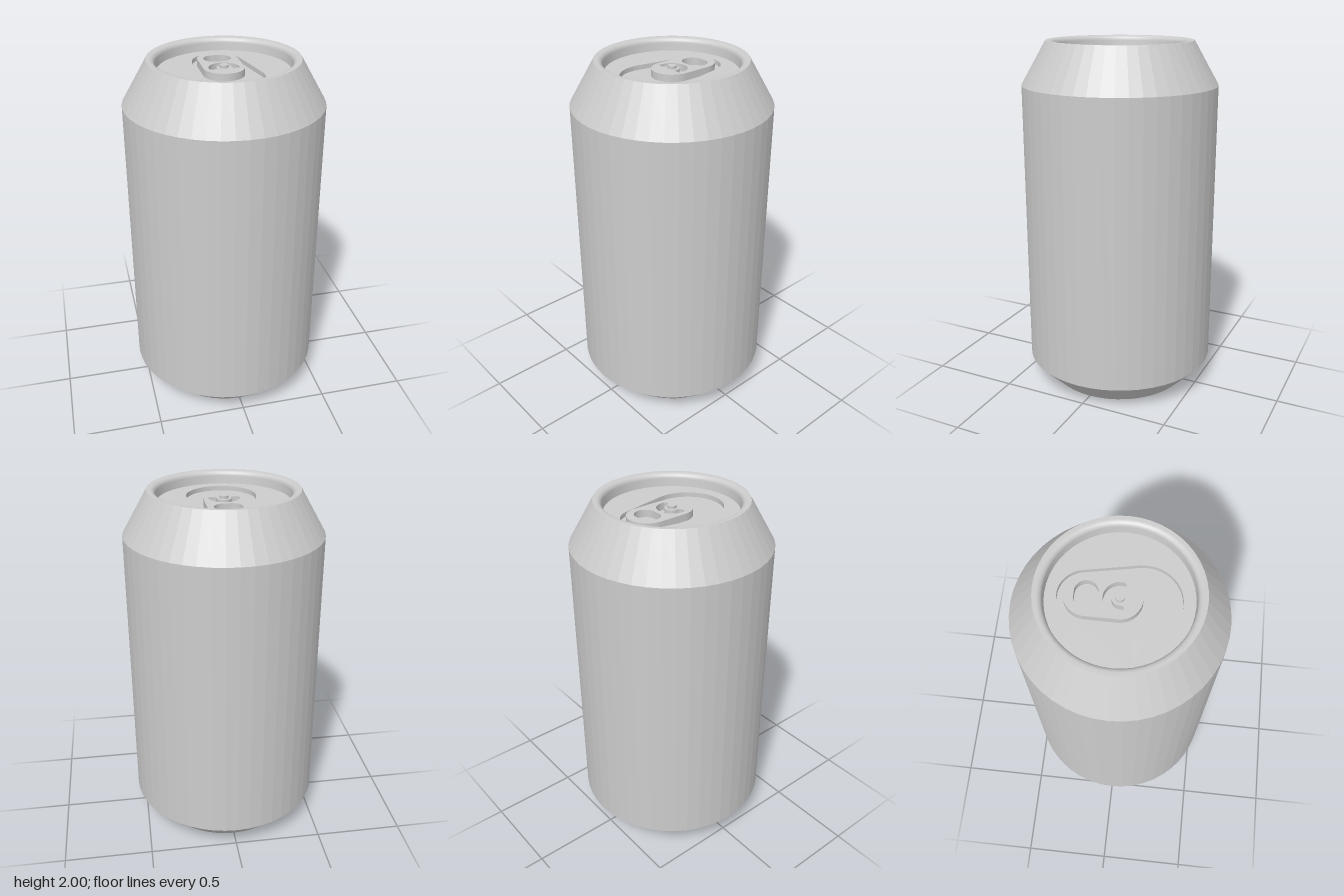
import * as THREE from 'three';

const material = new THREE.MeshStandardMaterial({ color: 0xcccccc });
const facetedMaterial = new THREE.MeshStandardMaterial({ color: 0xcccccc, flatShading: true });
const SEGMENTS = 48;
const LID_Y = 1.93, FLOOR_Y = 1.905;

// Shapes are drawn in plan, with shape y pointing to the back (-z).
function pearPath(Type, rTop, yTop, rBottom, yBottom) {
  const a = Math.asin((rBottom - rTop) / (yTop - yBottom));
  const path = new Type();
  path.absarc(0, yTop, rTop, a, Math.PI - a, false);
  path.absarc(0, yBottom, rBottom, Math.PI - a, Math.PI * 2 + a, false);
  path.closePath();
  return path;
}

// Wide slot: two half circles joined by straight sides.
function slotPath(halfWidth, r, y) {
  const path = new THREE.Path();
  const c = halfWidth - r;
  path.absarc(c, y, r, -Math.PI / 2, Math.PI / 2, false);
  path.absarc(-c, y, r, Math.PI / 2, Math.PI * 1.5, false);
  path.closePath();
  return path;
}

// Horseshoe-shaped slot that wraps round the rivet.
function horseshoePath(rOut, rIn, foot) {
  const path = new THREE.Path();
  const k = 0.014;
  path.absarc(0, 0, rOut, 0, Math.PI, false);
  path.lineTo(-rOut, -foot + k);
  path.quadraticCurveTo(-rOut, -foot, -rOut + k, -foot);
  path.lineTo(-rIn - k, -foot);
  path.quadraticCurveTo(-rIn, -foot, -rIn, -foot + k);
  path.absarc(0, 0, rIn, Math.PI, 0, true);
  path.lineTo(rIn, -foot + k);
  path.quadraticCurveTo(rIn, -foot, rIn + k, -foot);
  path.lineTo(rOut - k, -foot);
  path.quadraticCurveTo(rOut, -foot, rOut, -foot + k);
  path.closePath();
  return path;
}

function addMesh(group, name, geometry, y = 0, mat = material) {
  const mesh = new THREE.Mesh(geometry, mat);
  mesh.name = name;
  mesh.position.y = y;
  group.add(mesh);
  return mesh;
}

function slab(shape, depth) {
  return new THREE.ExtrudeGeometry(shape, { depth, bevelEnabled: false, curveSegments: 24 })
    .rotateX(-Math.PI / 2);
}

export function createModel() {
  const can = new THREE.Group();
  can.name = 'can';

  // Base, straight wall and tapered shoulder
  const bodyProfile = [[0, 0], [0.41, 0], [0.548, 0.14], [0.548, 1.76], [0.41, 2]]
    .map(([r, y]) => new THREE.Vector2(r, y));
  addMesh(can, 'body', new THREE.LatheGeometry(bodyProfile, SEGMENTS), 0, facetedMaterial);

  // Rim: flat top rolling over into the inner wall
  const rimProfile = [new THREE.Vector2(0.41, 2), new THREE.Vector2(0.392, 2)];
  for (let i = 1; i <= 6; i++) {
    const t = (i / 6) * Math.PI / 2;
    rimProfile.push(new THREE.Vector2(0.392 - 0.028 * Math.sin(t), 1.972 + 0.028 * Math.cos(t)));
  }
  rimProfile.push(new THREE.Vector2(0.36, LID_Y));
  addMesh(can, 'rim', new THREE.LatheGeometry(rimProfile, SEGMENTS));

  // Lid plate with a pear-shaped recess
  const lid = new THREE.Shape();
  lid.absarc(0, 0, 0.361, 0, Math.PI * 2, false);
  lid.holes.push(pearPath(THREE.Path, 0.137, 0.165, 0.19, -0.11));
  addMesh(can, 'lid', slab(lid, LID_Y - FLOOR_Y), FLOOR_Y);
  const floor = pearPath(THREE.Shape, 0.137, 0.165, 0.19, -0.11);
  addMesh(can, 'recessFloor', new THREE.ShapeGeometry(floor, 24).rotateX(-Math.PI / 2), FLOOR_Y);

  // Pull tab with finger hole and horseshoe slot
  const tab = pearPath(THREE.Shape, 0.11, 0.16, 0.11, 0);
  tab.holes.push(slotPath(0.075, 0.058, 0.162), horseshoePath(0.082, 0.04, 0.022));
  addMesh(can, 'pullTab', slab(tab, 0.04), FLOOR_Y);

  // Rivet holding the tab
  addMesh(can, 'rivet', new THREE.CylinderGeometry(0.023, 0.023, 0.055, 24), FLOOR_Y + 0.0275);

  return can;
}
